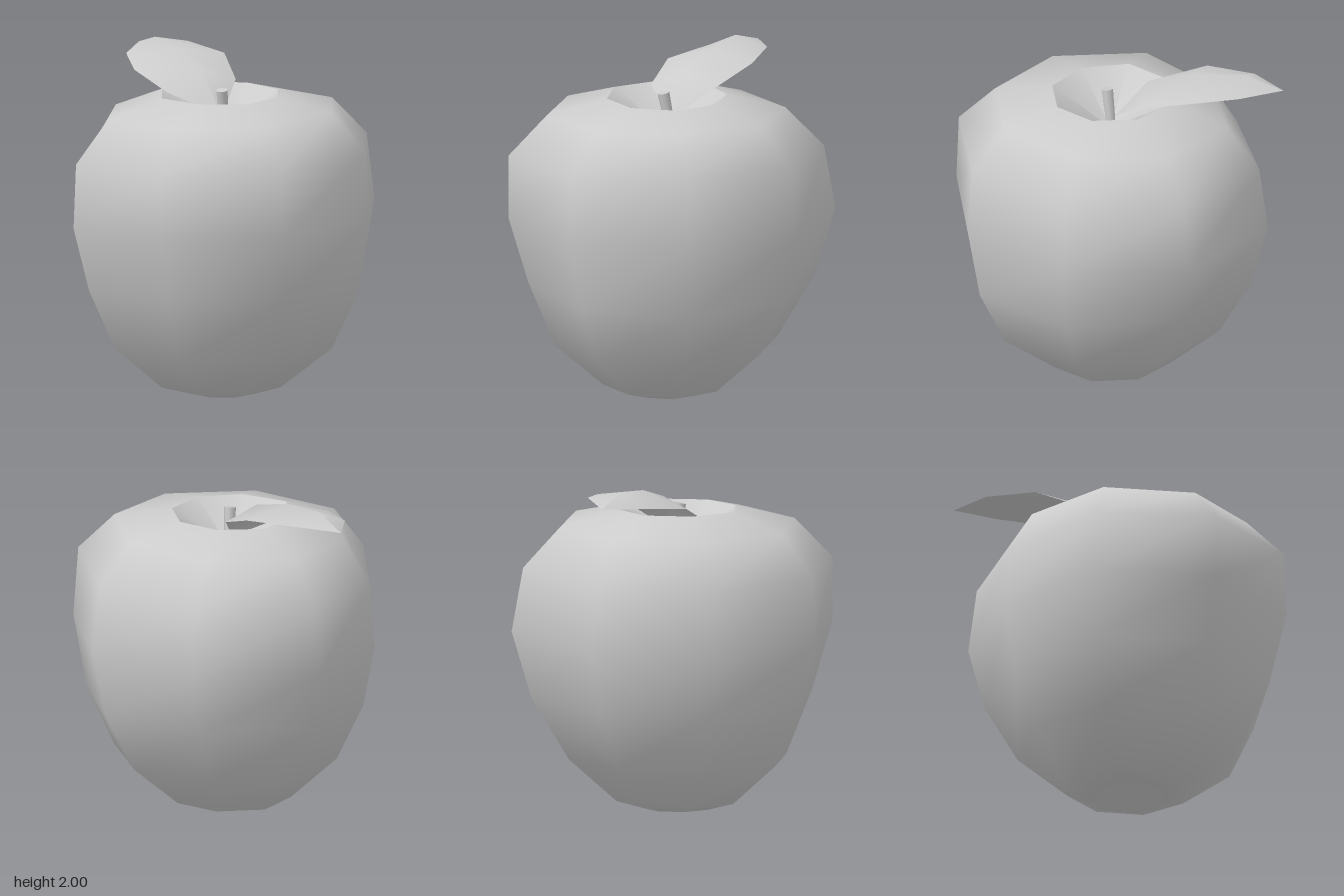
import * as THREE from 'three';

const CX = -0.04, CZ = 0.03;
const SIDES = 8;

// Skins rows of points, smooth within one skin; closed rows wrap around.
function loft(rows, closed, material) {
  const n = rows[0].length, index = [];
  for (let r = 0; r < rows.length - 1; r++) {
    for (let i = 0; i < (closed ? n : n - 1); i++) {
      const j = (i + 1) % n;
      const a = r * n + i, b = r * n + j, c = a + n, d = b + n;
      index.push(a, c, b, b, c, d);
    }
  }
  const geo = new THREE.BufferGeometry();
  geo.setAttribute('position', new THREE.Float32BufferAttribute(rows.flat(2), 3));
  geo.setIndex(index);
  geo.computeVertexNormals();
  return new THREE.Mesh(geo, material);
}

// Radius and height from base to rim along +x, +z, -x and -z.
const profiles = [
  [[0.21, 0], [0.37, 0.05], [0.70, 0.31], [0.87, 0.66], [0.95, 1.10], [0.92, 1.52], [0.70, 1.74], [0.35, 1.8]],
  [[0.21, 0], [0.38, 0.05], [0.67, 0.30], [0.83, 0.69], [0.95, 1.09], [0.95, 1.47], [0.72, 1.71], [0.36, 1.8]],
  [[0.20, 0], [0.37, 0.05], [0.65, 0.31], [0.81, 0.65], [0.88, 1.02], [0.85, 1.41], [0.69, 1.68], [0.39, 1.8]],
  [[0.20, 0], [0.37, 0.05], [0.66, 0.31], [0.89, 0.69], [1.01, 1.09], [0.94, 1.47], [0.71, 1.71], [0.36, 1.8]],
];
// Diagonals are averages of their neighbours, slightly swollen.
const diagonalScale = [1, 1.045, 1.04, 0.99];

function bodyRing(level) {
  return Array.from({ length: SIDES }, (_, k) => {
    const q = k >> 1;
    const p = profiles[q][level], next = profiles[(q + 1) % 4][level];
    const r = k % 2 ? (p[0] + next[0]) / 2 * diagonalScale[q] : p[0];
    const y = k % 2 ? (p[1] + next[1]) / 2 : p[1];
    const a = k * Math.PI * 2 / SIDES;
    return [CX + r * Math.cos(a), y, CZ + r * Math.sin(a)];
  });
}

const pointRing = (x, y, z) => Array.from({ length: SIDES }, () => [x, y, z]);

export function createModel() {
  const model = new THREE.Group();
  model.name = 'apple';
  const skin = new THREE.MeshStandardMaterial({ color: 0xcccccc });
  const thin = new THREE.MeshStandardMaterial({ color: 0xcccccc, side: THREE.DoubleSide });
  const add = (mesh, name) => {
    mesh.name = name;
    model.add(mesh);
  };

  // Fruit body with separate hollows, so that their rims stay sharp
  const rings = profiles[0].map((_, level) => bodyRing(level));
  add(loft(rings, true, skin), 'body');
  add(loft([rings[7], pointRing(CX, 1.58, 0.02)], true, skin), 'stemHollow');
  add(loft([pointRing(CX, 0.1, CZ), rings[0]], true, skin), 'baseHollow');

  // Short stem leaning forward
  const foot = new THREE.Vector3(-0.04, 1.56, 0.0);
  const tip = new THREE.Vector3(-0.037, 1.825, 0.052);
  const axis = tip.clone().sub(foot);
  const stem = new THREE.Mesh(new THREE.CylinderGeometry(0.036, 0.027, axis.length(), SIDES), skin);
  stem.position.copy(foot).add(tip).multiplyScalar(0.5);
  stem.quaternion.setFromUnitVectors(new THREE.Vector3(0, 1, 0), axis.normalize());
  add(stem, 'stem');

  // Arched leaf: each row is left edge, midrib, right edge
  const base = [-0.06, 1.66, 0], end = [-0.86, 1.93, -0.63];
  add(loft([
    [base, base, base],
    [[-0.38, 1.79, 0.08], [-0.23, 1.90, -0.10], [-0.08, 1.83, -0.26]],
    [[-0.65, 1.88, -0.06], [-0.46, 1.975, -0.28], [-0.26, 1.93, -0.51]],
    [[-0.82, 1.915, -0.34], [-0.69, 2.0, -0.47], [-0.55, 1.955, -0.64]],
    [end, end, end],
  ], false, thin), 'leaf');

  return model;
}
